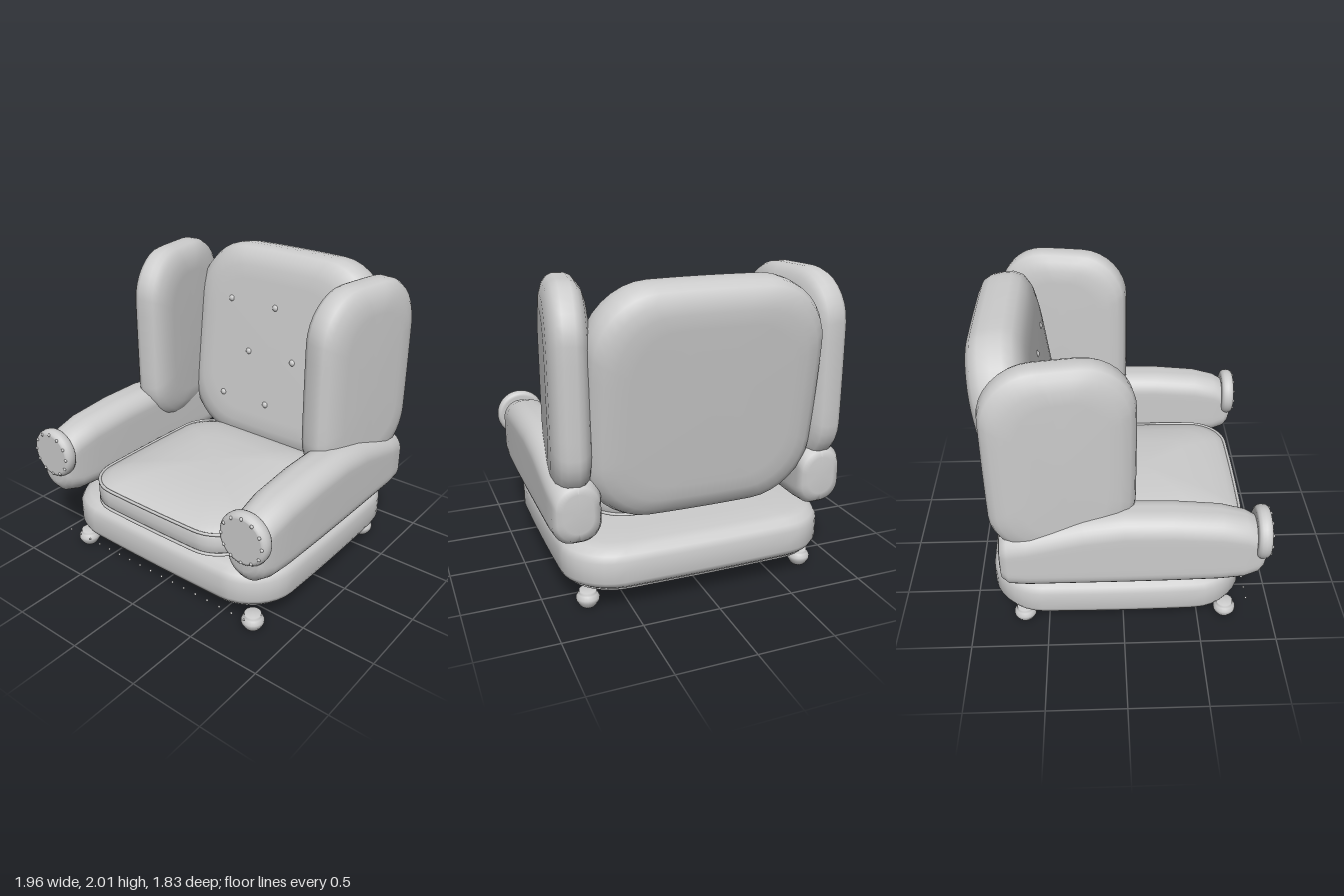
import * as THREE from 'three';

const upholstery = new THREE.MeshStandardMaterial({ color: 0xcccccc });
upholstery.name = 'light grey';

// Rounded rectangle outline, counter-clockwise; bow pulls the corners in so the sides bulge
function outline(a, b, r, bow = 0) {
  r = Math.min(r, a, b);
  const pts = [];
  const corners = [[1, 1], [-1, 1], [-1, -1], [1, -1]];
  corners.forEach(([sx, sy], k) => {
    for (let i = 0; i <= 8; i++) {
      const t = (k + i / 8) * Math.PI / 2;
      pts.push([sx * (a - r) + r * Math.cos(t), sy * (b - r) + r * Math.sin(t)]);
    }
    // extra points along the straight side that follows
    const [nx, ny] = corners[(k + 1) % 4];
    const end = (k + 1) * Math.PI / 2;
    for (let i = 1; i < 6; i++) {
      const f = i / 6;
      pts.push([
        (a - r) * (sx + (nx - sx) * f) + r * Math.cos(end),
        (b - r) * (sy + (ny - sy) * f) + r * Math.sin(end),
      ]);
    }
  });
  return pts.map(([x, y]) => [x * (1 - bow * (y / b) ** 2), y * (1 - bow * (x / a) ** 2)]);
}

// Closed skin over outlines stacked along z
function loft(sections, z0 = sections[0].z, z1 = sections.at(-1).z) {
  const pos = [], index = [];
  let n = 0;
  for (const { z, a, b, r, bow, cy = 0 } of sections) {
    const ring = outline(a, b, r, bow);
    n = ring.length;
    for (const [x, y] of ring) pos.push(x, y + cy, z);
  }
  const last = (sections.length - 1) * n;
  const c0 = pos.length / 3;
  pos.push(0, sections[0].cy || 0, z0, 0, sections.at(-1).cy || 0, z1);
  for (let j = 0; j < n; j++) {
    const k = (j + 1) % n;
    for (let i = 0; i < last; i += n) {
      index.push(i + j, i + k, i + n + k, i + j, i + n + k, i + n + j);
    }
    index.push(c0, k, j, c0 + 1, last + j, last + k);
  }
  const g = new THREE.BufferGeometry();
  g.setAttribute('position', new THREE.Float32BufferAttribute(pos, 3));
  g.setIndex(index);
  g.computeVertexNormals();
  return g;
}

// Padded slab: profile is a list of [z, inset]
function cushion(a, b, r, bow, profile, z0, z1) {
  return loft(profile.map(([z, inset]) => ({
    z, a: a - inset, b: b - inset, r: Math.max(r - inset * 0.5, 0.08), bow,
  })), z0, z1);
}

// Symmetric padding profile of half thickness t
function padding(t) {
  const half = [[1, 0.24], [0.97, 0.15], [0.88, 0.08], [0.68, 0.028], [0.38, 0.004]];
  return [...half.map(([z, i]) => [-z * t, i]), [0, 0], ...half.reverse().map(([z, i]) => [z * t, i])];
}

export function createModel() {
  const chair = new THREE.Group();
  chair.name = 'armchair';
  const add = (name, geometry, x = 0, y = 0, z = 0) => {
    const m = new THREE.Mesh(geometry, upholstery);
    m.name = name;
    m.position.set(x, y, z);
    chair.add(m);
    return m;
  };
  const piping = (name, a, b, r, bow, y, z) => {
    const pts = outline(a, b, r, bow).map(([px, pz]) => new THREE.Vector3(px, y, z - pz));
    add(name, new THREE.TubeGeometry(new THREE.CatmullRomCurve3(pts, true), 112, 0.011, 6, true));
  };

  // Base
  const base = cushion(0.895, 0.83, 0.32, 0.02, [
    [0.12, 0.22], [0.135, 0.13], [0.155, 0.065], [0.165, 0.045], [0.19, 0.015], [0.225, 0],
    [0.29, 0], [0.355, 0], [0.395, 0.018], [0.425, 0.055], [0.44, 0.11], [0.45, 0.28],
  ], 0.117, 0.45).rotateX(-Math.PI / 2);
  add('base', base, 0, 0, -0.035);
  piping('basePiping', 0.84, 0.775, 0.29, 0.02, 0.16, -0.035);

  // Seat cushion with piped edges
  const seat = cushion(0.625, 0.655, 0.24, 0.02, [
    [0.44, 0.25], [0.455, 0.1], [0.475, 0.02], [0.5, 0.002], [0.55, 0], [0.6, 0.002],
    [0.625, 0.015], [0.65, 0.07], [0.68, 0.17], [0.705, 0.34],
  ], 0.44, 0.715).rotateX(-Math.PI / 2);
  add('seatCushion', seat, 0, 0, 0.155);
  for (const y of [0.48, 0.625]) piping('seatPiping', 0.618, 0.648, 0.24, 0.02, y, 0.155);

  // Leaning back rest
  const back = add('backRest', cushion(0.75, 0.735, 0.38, 0.025, padding(0.183)), 0, 1.275, -0.663);
  back.rotation.x = -0.138;

  // Back buttons
  const button = new THREE.SphereGeometry(0.026, 16, 10);
  for (const [y, xs] of [[1.62, [-0.385, 0, 0.385]], [1.27, [-0.19, 0.19]], [0.91, [-0.385, 0, 0.385]]]) {
    for (const x of xs) add('backButton', button, x, y, -0.44 - 0.139 * (y - 0.91));
  }

  // Arm sections: z, half width, bottom, top
  const arm = loft([
    [-0.775, 0.09, 0.55, 0.80], [-0.765, 0.13, 0.5, 0.84], [-0.72, 0.15, 0.472, 0.868],
    [-0.6, 0.155, 0.465, 0.888], [-0.25, 0.155, 0.465, 0.97], [0, 0.155, 0.465, 1.0],
    [0.3, 0.155, 0.468, 0.995], [0.6, 0.15, 0.47, 0.968], [0.75, 0.14, 0.475, 0.93],
    [0.84, 0.125, 0.5, 0.88], [0.872, 0.11, 0.54, 0.83], [0.885, 0.09, 0.58, 0.76],
  ].map(([z, a, lo, hi]) => ({ z, a, b: (hi - lo) / 2, cy: (hi + lo) / 2, r: 0.12, bow: 0.01 })));

  const wing = cushion(0.45, 0.645, 0.31, 0.015, [
    [-0.13, 0.19], [-0.122, 0.11], [-0.1, 0.05], [-0.07, 0.015], [-0.035, 0], [0.035, 0],
    [0.07, 0.015], [0.1, 0.05], [0.122, 0.11], [0.13, 0.19],
  ]);

  // Round arm front with a softened rim
  const disc = new THREE.LatheGeometry([
    [0, 0], [0.14, 0], [0.158, 0.008], [0.168, 0.025], [0.171, 0.047],
    [0.168, 0.068], [0.158, 0.083], [0.145, 0.089], [0.14, 0.089], [0, 0.089],
  ].map(([x, y]) => new THREE.Vector2(x, y)), 40).rotateX(Math.PI / 2);
  const stud = new THREE.SphereGeometry(0.011, 10, 8);

  // Turned foot
  const foot = new THREE.LatheGeometry([
    [0, 0.003], [0.045, 0.003], [0.055, 0.015], [0.073, 0.045], [0.074, 0.066],
    [0.062, 0.088], [0.053, 0.096], [0.054, 0.112], [0, 0.112],
  ].map(([x, y]) => new THREE.Vector2(x, y)), 24);

  for (const s of [1, -1]) {
    add('arm', arm, s * 0.81);
    add('wing', wing, s * 0.77, 1.355, -0.375).rotation.y = -(90 + 9 * s) * Math.PI / 180;
    add('armFront', disc, s * 0.81, 0.795, 0.812);
    for (let i = 0; i < 12; i++) {
      const t = i * Math.PI / 6;
      add('armStud', stud, s * 0.81 + 0.145 * Math.cos(t), 0.795 + 0.145 * Math.sin(t), 0.899);
    }
    for (const z of [0.685, -0.66]) add('foot', foot, s * 0.743, 0, z);
  }

  // Row of small studs along the lower front
  const smallStud = new THREE.SphereGeometry(0.008, 8, 6);
  for (let i = -8; i <= 8; i++) add('frontStud', smallStud, i * 0.097, 0.163, 0.82);

  return chair;
}
